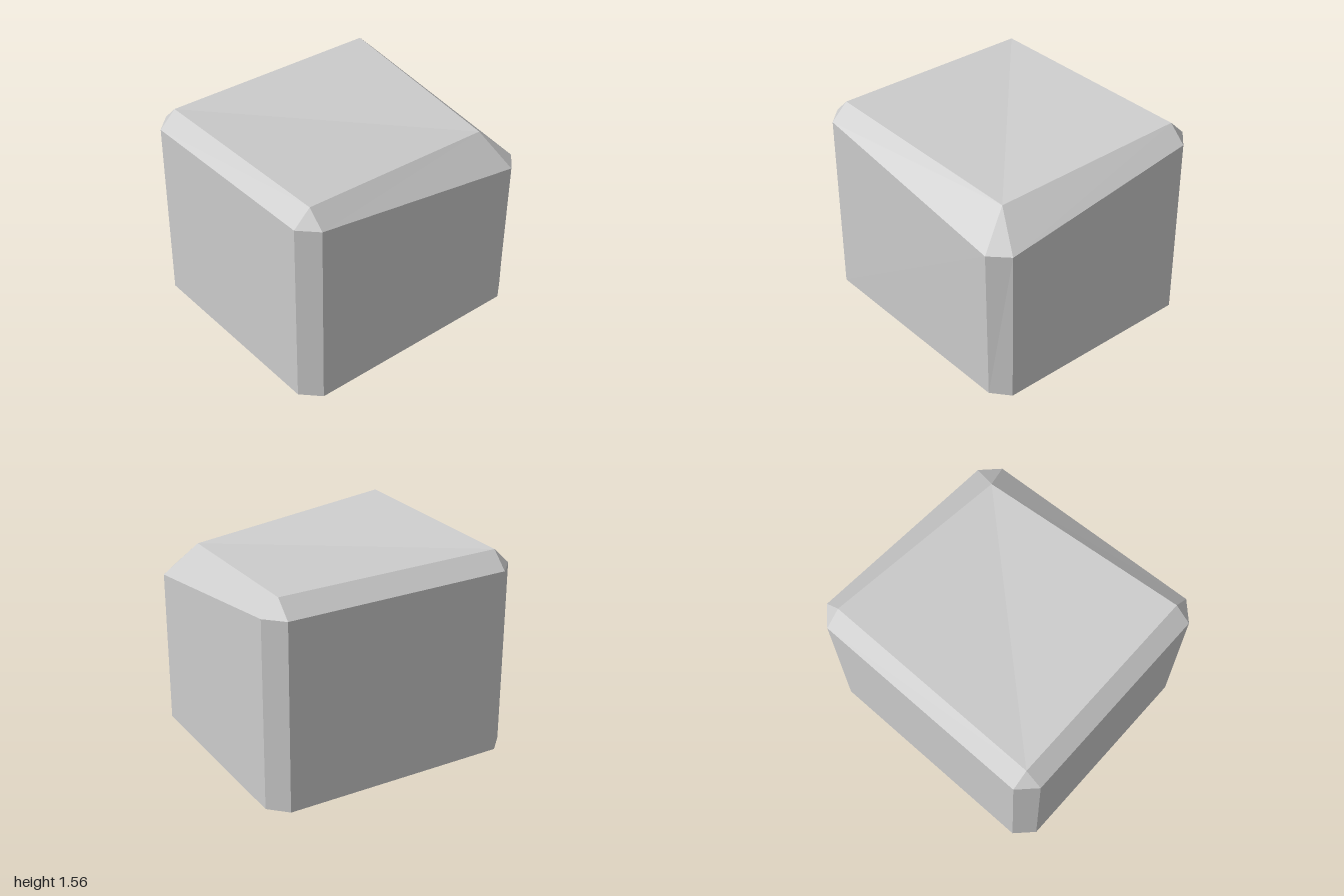
import * as THREE from 'three';

const X = 1, Z = 0.92, CUT = 0.13;      // half sizes and chamfer width
const RIM = 1.435, TOP = 1.56;          // heights where the top bevel starts and ends
const LOW_RIM = 1.2;                    // the worn front left corner dips

// Flat faces from loops of points, counter-clockwise from outside
function faceMesh(name, faces, material) {
  const points = [];
  for (const f of faces) {
    for (let i = 1; i < f.length - 1; i++) points.push(f[0], f[i], f[i + 1]);
  }
  const geometry = new THREE.BufferGeometry().setFromPoints(points);
  geometry.computeVertexNormals();
  const mesh = new THREE.Mesh(geometry, material);
  mesh.name = name;
  return mesh;
}

export function createModel() {
  const group = new THREE.Group();
  group.name = 'chamferedBlock';
  const stone = new THREE.MeshStandardMaterial({ color: 0xcccccc });
  stone.name = 'light grey';

  // Corner by corner around the block: two base points, two rim points, one top point
  const base = [], rim = [], top = [];
  const corners = [[1, 1], [1, -1], [-1, -1], [-1, 1]];
  corners.forEach(([sx, sz], k) => {
    const worn = k === 0;
    const ends = [[sx * (X - CUT), sz * Z], [sx * X, sz * (Z - CUT)]];
    if (sx * sz < 0) ends.reverse();
    for (const [x, z] of ends) {
      const baseZ = worn && z === Z ? z - 0.02 : z;
      base.push(new THREE.Vector3(x, 0, baseZ));
      rim.push(new THREE.Vector3(x, worn ? LOW_RIM : RIM, z));
    }
    top.push(worn
      ? new THREE.Vector3(0.76, 1.44, 0.68)
      : new THREE.Vector3(sx * (X - CUT), TOP, sz * (Z - CUT)));
  });

  // Walls with chamfered corners, and the bevel between walls and top
  const walls = [], bevels = [];
  for (let i = 0; i < 8; i++) {
    const j = (i + 1) % 8, k = i >> 1;
    walls.push([base[i], base[j], rim[j], rim[i]]);
    bevels.push(i % 2
      ? [rim[i], rim[j], top[(k + 1) % 4], top[k]]
      : [rim[i], rim[j], top[k]]);
  }

  group.add(
    faceMesh('walls', walls, stone),
    faceMesh('topBevel', bevels, stone),
    faceMesh('topFace', [top], stone),
    faceMesh('underside', [[...base].reverse()], stone),
  );
  return group;
}
